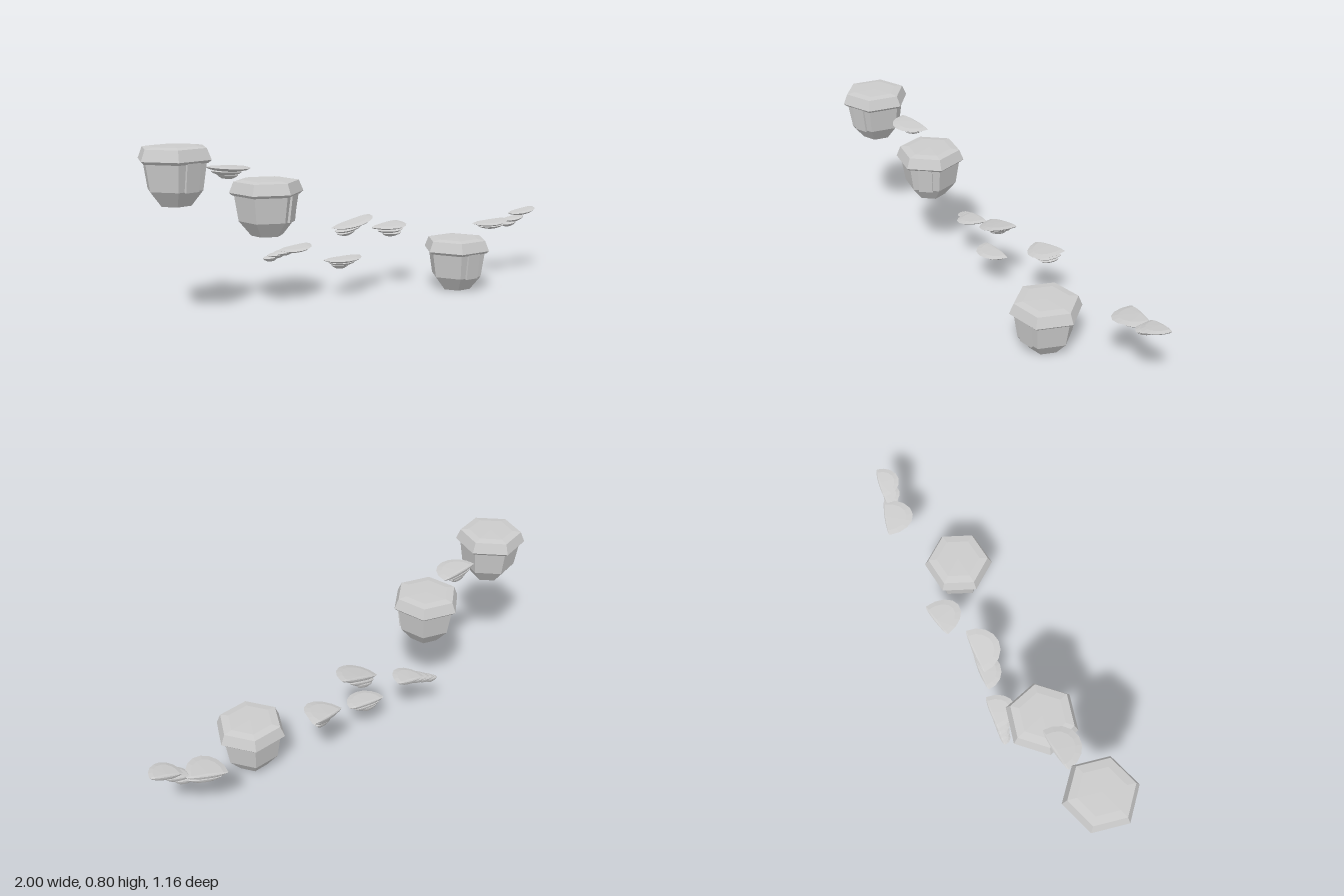
import * as THREE from 'three';

const material = new THREE.MeshStandardMaterial({ color: 0xcccccc, flatShading: true });

function facetedMesh(geometry, name) {
  const flat = geometry.toNonIndexed();
  flat.computeVertexNormals();
  const mesh = new THREE.Mesh(flat, material);
  mesh.name = name;
  return mesh;
}

function lathe(points, sides) {
  return new THREE.LatheGeometry(points.map(p => new THREE.Vector2(...p)), sides);
}

// Six-sided hut: tapered body, flared rim roof and a leaning door panel
function hut(x, y, z, turn) {
  const group = new THREE.Group();
  group.name = 'hut';
  const body = facetedMesh(lathe([[0, 0], [0.074, 0], [0.131, 0.07], [0.151, 0.195]], 6), 'hutBody');
  const roof = facetedMesh(lathe(
    [[0.14, 0.192], [0.158, 0.19], [0.173, 0.203], [0.152, 0.254], [0.11, 0.26], [0, 0.261]], 6), 'hutRoof');
  const door = facetedMesh(new THREE.BoxGeometry(0.07, 0.13, 0.03), 'door');
  door.position.set(0, 0.133, 0.118);
  door.rotation.x = 0.12;
  const doorSide = new THREE.Group();
  doorSide.name = 'doorSide';
  doorSide.rotation.y = Math.PI / 6;
  doorSide.add(door);
  group.add(body, roof, doorSide);
  group.position.set(x, y, z);
  group.rotation.y = THREE.MathUtils.degToRad(turn);
  return group;
}

// Half-round fungus shelf: a shallow lens with its back half pressed almost flat
function shelf(x, y, z, radius, depth, turn, roll) {
  const geometry = lathe([[0, -0.2], [0.5, -0.17], [0.85, -0.08], [1, 0], [0.75, 0.05], [0, 0.07]], 16);
  const pos = geometry.attributes.position;
  for (let i = 0; i < pos.count; i++) {
    const pz = pos.getZ(i);
    // lower layers shrink towards the back edge
    pos.setXYZ(i, pos.getX(i) * radius, pos.getY(i) * 0.11, pz > 0 ? pz * depth : pz * 0.012);
  }
  const mesh = facetedMesh(geometry, 'fungusShelf');
  mesh.position.set(x, y, z);
  mesh.rotation.set(0, turn, roll, 'YXZ');
  return mesh;
}

export function createModel() {
  const model = new THREE.Group();
  model.name = 'hutsAndFungusShelves';

  model.add(
    hut(-0.837, 0.535, 0.41, 11.5),
    hut(-0.443, 0.355, 0.19, 39.5),
    hut(0.51, 0, -0.17, 0),
  );

  // Each cluster: turn, roll, then shelves as [x, y, z, radius, depth]
  const clusters = [
    [0.5, -0.06, [[-0.62, 0.68, 0.235, 0.106, 0.12], [-0.625, 0.662, 0.24, 0.075, 0.08], [-0.62, 0.647, 0.24, 0.05, 0.06]]],
    [0.35, 0.14, [[-0.315, 0.254, -0.03, 0.082, 0.115], [-0.365, 0.24, -0.012, 0.06, 0.07],
      [-0.4, 0.228, 0.0, 0.05, 0.05], [-0.43, 0.214, 0.012, 0.04, 0.04]]],
    [0.4, 0.25, [[-0.035, 0.364, -0.1, 0.11, 0.125], [-0.05, 0.337, -0.095, 0.075, 0.08], [-0.06, 0.318, -0.09, 0.05, 0.06]]],
    [0.35, 0.05, [[-0.08, 0.186, -0.075, 0.1, 0.1], [-0.08, 0.169, -0.075, 0.07, 0.07], [-0.09, 0.155, -0.07, 0.045, 0.05]]],
    [0.63, 0.1, [[0.155, 0.314, -0.285, 0.09, 0.135], [0.17, 0.294, -0.28, 0.07, 0.095], [0.18, 0.275, -0.28, 0.05, 0.07]]],
    [0.12, 0.12, [[0.75, 0.28, -0.53, 0.095, 0.135], [0.76, 0.263, -0.53, 0.075, 0.095]]],
    [0.25, 0.2, [[0.925, 0.334, -0.555, 0.076, 0.095], [0.875, 0.297, -0.535, 0.06, 0.075], [0.85, 0.272, -0.53, 0.045, 0.06]]],
  ];
  for (const [turn, roll, shelves] of clusters) {
    const cluster = new THREE.Group();
    cluster.name = 'fungusCluster';
    for (const s of shelves) cluster.add(shelf(...s, turn, roll));
    model.add(cluster);
  }
  return model;
}
